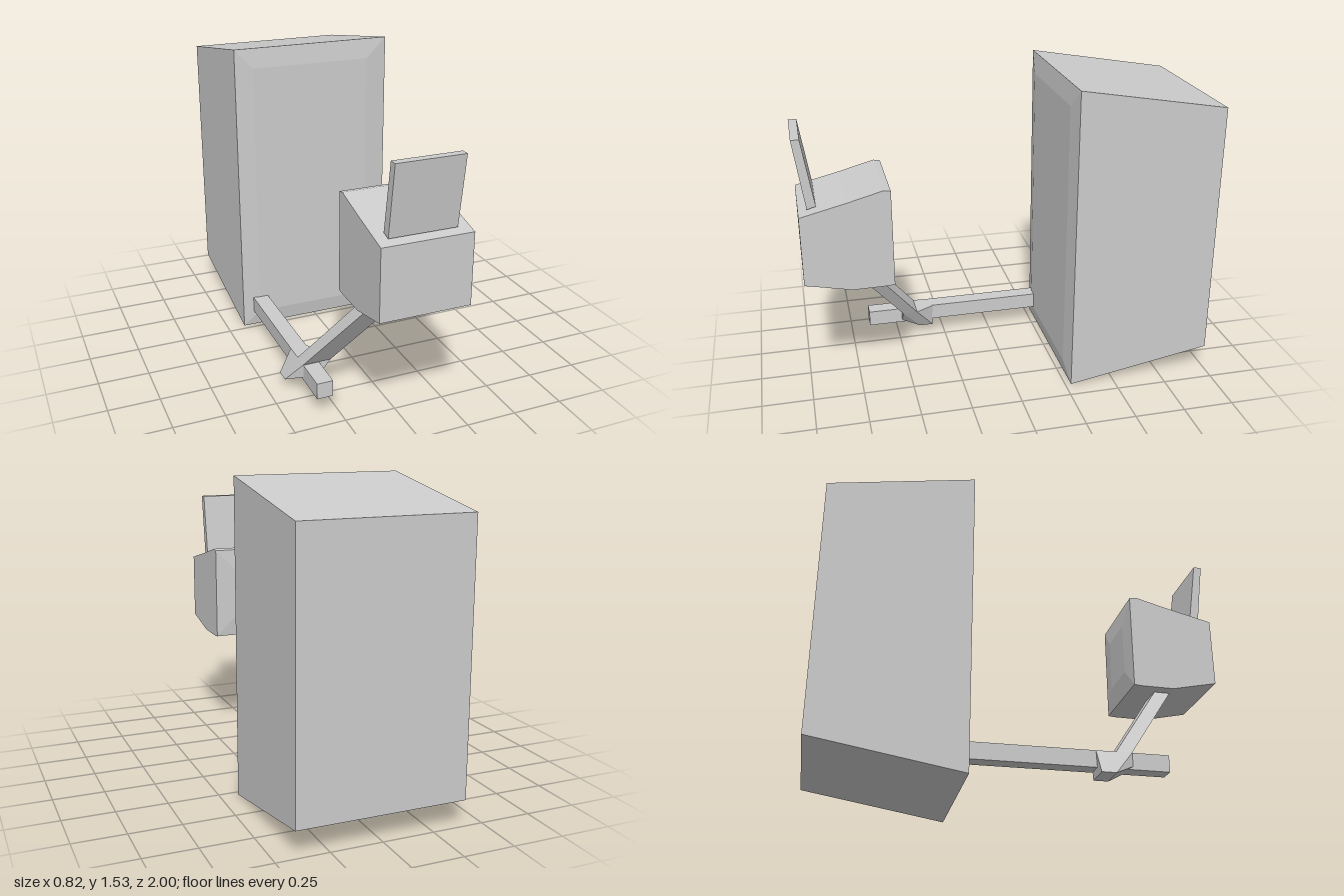
import * as THREE from 'three';
import { ConvexGeometry } from 'three/addons/geometries/ConvexGeometry.js';

// Four-cornered rings: one facing +z, one facing +y
const ringZ = (z, x0, x1, y0, y1) => [[x0, y0, z], [x1, y0, z], [x1, y1, z], [x0, y1, z]];
const ringY = (y, x0, x1, z0, z1) => [[x0, y, z1], [x1, y, z1], [x1, y, z0], [x0, y, z0]];

// Closed solid through a list of rings
function loft(rings) {
  const pos = [];
  const quad = (a, b, c, d) => pos.push(...a, ...b, ...c, ...a, ...c, ...d);
  const first = rings[0], last = rings[rings.length - 1];
  quad(first[3], first[2], first[1], first[0]);
  for (let r = 0; r < rings.length - 1; r++) {
    for (let i = 0; i < 4; i++) {
      const j = (i + 1) % 4;
      quad(rings[r][i], rings[r][j], rings[r + 1][j], rings[r + 1][i]);
    }
  }
  quad(...last);
  const geometry = new THREE.BufferGeometry();
  geometry.setAttribute('position', new THREE.Float32BufferAttribute(pos, 3));
  geometry.computeVertexNormals();
  return geometry;
}

export function createModel() {
  const group = new THREE.Group();
  const material = new THREE.MeshStandardMaterial({ color: 0xcccccc, flatShading: true });
  const add = (name, geometry) => {
    const mesh = new THREE.Mesh(geometry, material);
    mesh.name = name;
    group.add(mesh);
  };

  // Tall tapered cabinet with a shallow raised front
  add('cabinet', loft([
    ringZ(-1, -0.41, 0.41, 0.125, 1.405),
    ringZ(-0.28, -0.41, 0.41, 0, 1.53),
    ringZ(-0.267, -0.32, 0.3, 0.08, 1.43),
  ]));

  // Seat box: slightly domed rear, sloping top and underside
  add('seatBox', loft([
    ringZ(0.556, -0.1, 0.12, 0.69, 0.95),
    ringZ(0.567, -0.207, 0.23, 0.578, 1.06),
    ringZ(0.6, -0.207, 0.23, 0.574, 1.066),
    ringZ(0.77, -0.207, 0.23, 0.572, 1.02),
    ringZ(0.995, -0.207, 0.23, 0.62, 0.965),
  ]));

  // Leaning backrest
  const backrestFoot = ringY(0.98, -0.155, 0.17, 0.91, 0.953);
  backrestFoot[2][1] = backrestFoot[3][1] = 0.992;
  add('backrest', loft([backrestFoot, ringY(1.32, -0.155, 0.17, 0.96, 1)]));

  // Floor rail running out from the cabinet
  add('rail', loft([
    ringZ(-0.3, -0.355, -0.275, 0.085, 0.166),
    ringZ(0.66, -0.355, -0.275, 0.085, 0.166),
  ]));

  // Slanted post under the seat
  const postFoot = ringY(0.168, -0.355, -0.215, 0.407, 0.483);
  add('post', loft([postFoot, ringY(0.6, -0.13, 0.005, 0.71, 0.79)]));

  // Faceted bracket clamping the post to the rail
  const bracketPoints = [
    ...ringY(0.046, -0.415, -0.28, 0.315, 0.385),
    ...postFoot,
    [-0.355, 0.165, 0.31], [-0.275, 0.165, 0.31],
    [-0.355, 0.1, 0.483], [-0.27, 0.1, 0.483],
  ];
  add('bracket', new ConvexGeometry(bracketPoints.map((p) => new THREE.Vector3(...p))));

  return group;
}
